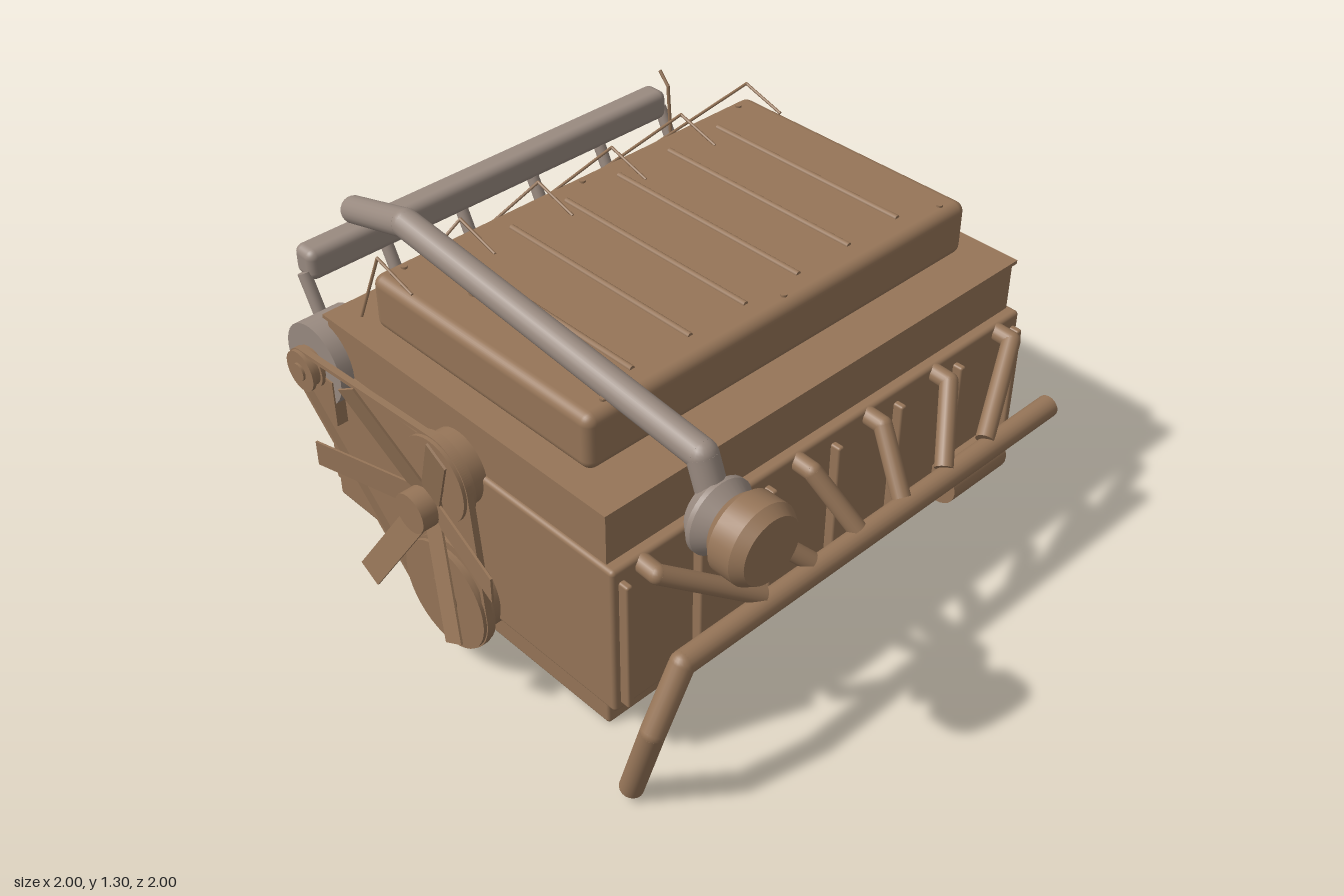
import * as THREE from 'three';
import { toCreasedNormals } from 'three/addons/utils/BufferGeometryUtils.js';
import { RoundedBoxGeometry } from 'three/addons/geometries/RoundedBoxGeometry.js';

const brown = new THREE.MeshStandardMaterial({ color: 0x967558 });
brown.name = 'cast brown';
const grey = new THREE.MeshStandardMaterial({ color: 0x998a80 });
grey.name = 'warm grey';

export function createModel() {
  const root = new THREE.Group();
  root.name = 'engine';

  const add = (name, geo, mat = brown, parent = root) => {
    const m = new THREE.Mesh(geo, mat);
    m.name = name;
    parent.add(m);
    return m;
  };
  const group = (name) => {
    const g = new THREE.Group();
    g.name = name;
    root.add(g);
    return g;
  };
  // Box given by its limits on each axis, optionally rounded
  const box = (name, [x0, x1], [y0, y1], [z0, z1], r = 0, mat = brown, parent = root) => {
    const s = [x1 - x0, y1 - y0, z1 - z0];
    const geo = r ? new RoundedBoxGeometry(...s, 4, r) : new THREE.BoxGeometry(...s);
    const m = add(name, geo, mat, parent);
    m.position.set((x0 + x1) / 2, (y0 + y1) / 2, (z0 + z1) / 2);
    return m;
  };
  // Straight round bar between two points
  const bar = (name, a, b, r, mat = brown, parent = root, sides = 24) => {
    const p = new THREE.Vector3(...a), q = new THREE.Vector3(...b);
    const m = add(name, new THREE.CylinderGeometry(r, r, p.distanceTo(q), sides), mat, parent);
    m.position.copy(p).lerp(q, 0.5);
    m.quaternion.setFromUnitVectors(new THREE.Vector3(0, 1, 0), q.sub(p).normalize());
    return m;
  };
  // Bent pipe with ball joints at its corners
  const pipe = (name, pts, r, mat = brown, parent = root, sides = 20) => {
    const g = new THREE.Group();
    g.name = name;
    parent.add(g);
    for (let i = 0; i < pts.length - 1; i++) {
      bar(name + 'Run', pts[i], pts[i + 1], r, mat, g, sides);
      if (i) add(name + 'Bend', new THREE.SphereGeometry(r, sides, 12), mat, g).position.set(...pts[i]);
    }
  };

  // Main castings, bottom to top
  box('oilPan', [-0.59, 0.505], [0, 0.215], [-0.91, 0.7], 0.012);
  box('block', [-0.71, 0.63], [0.21, 0.76], [-1, 0.785], 0.015);
  box('cylinderHead', [-0.67, 0.59], [0.75, 0.935], [-0.98, 0.77]);
  box('headFlange', [-0.68, 0.6], [0.932, 0.945], [-0.99, 0.78]);
  box('valveCover', [-0.525, 0.445], [0.94, 1.13], [-0.905, 0.695], 0.035);

  // Ribs, bolts and filler cap on the valve cover
  const cover = group('coverDetails');
  for (let i = 0; i < 6; i++) {
    const z = -0.67 + i * 0.224;
    bar('coverRib', [-0.43, 1.13, z], [0.355, 1.13, z], 0.01, brown, cover, 10);
  }
  for (const x of [-0.48, 0.4]) for (const z of [-0.82, -0.11, 0.6])
    bar('coverBolt', [x, 1.11, z], [x, 1.137, z], 0.011, brown, cover, 10);
  bar('fillerCap', [-0.23, 1.12, 0.53], [-0.23, 1.18, 0.53], 0.022, brown, cover);

  // Upright ribs on both sides of the block
  const ribs = group('blockRibs');
  for (const x of [-0.73, 0.65]) for (let i = 0; i < 7; i++) {
    const z = -0.965 + i * 0.286;
    box('blockRib', [x - 0.025, x + 0.015 + (x > 0 ? 0 : 0.02)], [0.24, 0.715], [z - 0.012, z + 0.012], 0.008, brown, ribs);
  }

  // Ports along the engine
  const ports = [0, 1, 2, 3, 4, 5].map((i) => -0.89 + i * 0.312);

  // Exhaust: six runners gathered in a collector that turns down at the front
  const exhaust = group('exhaust');
  for (const z of ports) {
    const end = -0.1 + (z + 0.1) * 0.64;
    pipe('exhaustRunner', [[0.6, 0.73, z], [0.685, 0.725, z], [0.825, 0.56, end]], 0.03, brown, exhaust);
  }
  pipe('exhaustCollector', [[0.837, 0.53, -0.92], [0.837, 0.53, 0.72], [0.837, 0.34, 0.83], [0.745, 0.03, 0.83]], 0.038, brown, exhaust);

  // Intake: plenum with six runners
  const intake = group('intake');
  box('intakePlenum', [-1, -0.9], [0.89, 1], [-0.89, 0.665], 0.03, grey, intake);
  for (const z of ports)
    pipe('intakeRunner', [[-0.94, 0.92, z], [-0.845, 0.735, z], [-0.69, 0.73, z]], 0.022, grey, intake);

  // Charge pipe over the engine to the compressor
  pipe('chargePipe', [[-0.95, 1.055, 0.45], [-0.515, 1.25, 0.555], [0.74, 1.12, 0.56], [0.805, 0.95, 0.56]], 0.046, grey);
  const lathe = (name, profile, mat) => {
    const geo = new THREE.LatheGeometry(profile.map(([r, y]) => new THREE.Vector2(r, y)), 32);
    geo.rotateZ(-Math.PI / 2);
    add(name, toCreasedNormals(geo, 0.5), mat).position.set(0, 0.95, 0.56);
  };
  lathe('compressorHousing', [[0, 0.76], [0.085, 0.76], [0.118, 0.8], [0.118, 0.815], [0.08, 0.87], [0, 0.87]], grey);
  lathe('turbineHousing', [[0, 0.855], [0.1, 0.86], [0.127, 0.89], [0.127, 0.965], [0.105, 1], [0, 1]], brown);

  // Side-mounted cylinders
  bar('starterMotor', [0.66, 0.265, -0.89], [0.66, 0.265, -0.62], 0.07);
  bar('oilFilter', [-0.85, 0.315, 0.08], [-0.69, 0.315, 0.08], 0.062);

  // Alternator with bracket
  bar('alternator', [-0.7, 0.765, 0.66], [-0.7, 0.765, 0.82], 0.14, grey, root, 32);
  box('alternatorBracket', [-0.73, -0.605], [0.575, 0.745], [0.7, 0.825]);

  // Pulleys: [x, y, radius, hub radius]
  const pulleys = [[-0.7, 0.765, 0.07, 0.03], [-0.04, 0.735, 0.142, 0.05], [-0.04, 0.275, 0.188, 0.06]];
  const drive = group('beltDrive');
  for (const [x, y, r, hub] of pulleys) {
    for (const z of [0.828, 0.862]) bar('pulleyRim', [x, y, z], [x, y, z + 0.012], r, brown, drive, 40);
    bar('pulleyCore', [x, y, 0.76], [x, y, 0.868], r * 0.85, brown, drive, 32);
    bar('pulleyHub', [x, y, 0.86], [x, y, 0.882], hub, brown, drive);
  }

  // Belt: band wrapped around the outside of the pulleys
  const wrap = (offset) => Array.from({ length: 120 }, (_, i) => {
    const t = (i / 120) * Math.PI * 2, c = Math.cos(t), s = Math.sin(t);
    const reach = (p) => p[0] * c + p[1] * s + p[2];
    const [x, y, r] = pulleys.reduce((a, b) => (reach(b) > reach(a) ? b : a));
    return new THREE.Vector2(x + (r + offset) * c, y + (r + offset) * s);
  });
  const band = new THREE.Shape(wrap(0.004));
  band.holes.push(new THREE.Path(wrap(-0.01)));
  add('belt', new THREE.ExtrudeGeometry(band, { depth: 0.022, bevelEnabled: false }), brown, drive).position.z = 0.84;

  // Cooling fan with six swept blades
  const fan = group('fan');
  fan.position.set(-0.04, 0.66, 0);
  bar('fanShaft', [0, 0, 0.75], [0, 0, 0.92], 0.035, brown, fan);
  bar('fanHub', [0, 0, 0.9], [0, 0, 0.967], 0.066, brown, fan);
  for (let i = 0; i < 6; i++) {
    const geo = new THREE.BoxGeometry(0.39, 0.088, 0.007);
    geo.rotateY(-0.25);
    geo.translate(0.222, 0, 0.948);
    geo.rotateZ((i * Math.PI) / 3);
    add('fanBlade', geo, brown, fan);
  }

  // Ignition leads and dipstick
  const leads = group('ignitionLeads');
  ports.forEach((z, i) => pipe('ignitionLead',
    [[-0.35, 1.13, z], [-0.512, 1.18, z], [-0.59, 0.94, 0.22 + i * 0.096]], 0.005, brown, leads, 8));
  pipe('dipstick', [[-0.65, 0.93, -0.67], [-0.67, 1.19, -0.67], [-0.71, 1.235, -0.67]], 0.006, brown, root, 8);

  return root;
}
